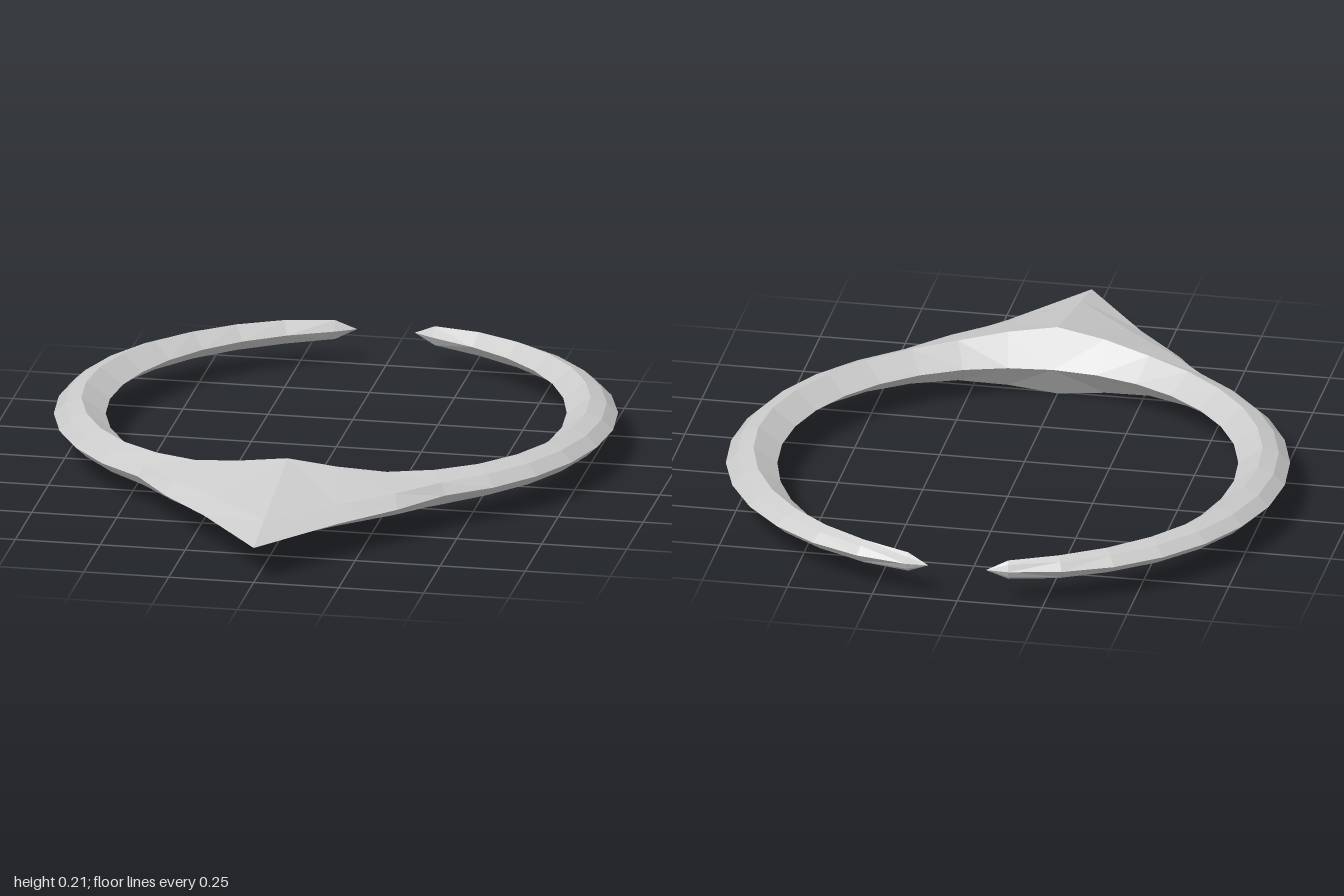
import * as THREE from 'three';

const CENTRE_Z = -0.245, MID_Y = 0.105, STEP = 11.25;

// Half of the band from the front point to the open end:
// [inner radius, ridge radius, ridge half-height, bevel radius, outer radius]
const HALF = [
  [0.665, 0.735, 0.105, 1.09, 1.245],
  [0.665, 0.735, 0.084, 0.925, 1.005],
  [0.665, 0.735, 0.063, 0.845, 0.894],
  [0.665, 0.735, 0.055, 0.787, 0.812],
  [0.665, 0.735, 0.050, 0.782, 0.815],
  [0.665, 0.735, 0.048, 0.782, 0.815],
  [0.665, 0.735, 0.048, 0.782, 0.815],
  [0.665, 0.735, 0.048, 0.782, 0.815],
  [0.665, 0.735, 0.048, 0.782, 0.815],
  [0.666, 0.735, 0.047, 0.782, 0.815],
  [0.670, 0.736, 0.045, 0.780, 0.812],
  [0.678, 0.738, 0.043, 0.777, 0.808],
  [0.688, 0.740, 0.041, 0.774, 0.804],
  [0.699, 0.743, 0.039, 0.770, 0.798],
  [0.713, 0.748, 0.036, 0.768, 0.787],
  [0.735, 0.754, 0.029, 0.764, 0.773],
  [0.760, 0.760, 0.000, 0.760, 0.760],
];
const LAST = HALF.length - 1;
const TIP_ANGLE = 173.6;

// Closed six-point cross-section at a signed station along the band
function section(i) {
  const n = Math.abs(i);
  const [inner, ridge, h, bevel, outer] = HALF[n];
  const a = THREE.MathUtils.degToRad(Math.sign(i) * (n === LAST ? TIP_ANGLE : n * STEP));
  const b = n === LAST ? 0 : Math.min(0.032, h * 0.66);
  return [[outer, 0], [bevel, b], [ridge, h], [inner, 0], [ridge, -h], [bevel, -b]]
    .map(([r, y]) => [r * Math.sin(a), MID_Y + y, CENTRE_Z + r * Math.cos(a)]);
}

function bandGeometry() {
  const positions = [];
  const tri = (...pts) => pts.forEach((p) => positions.push(...p));
  for (let i = -LAST; i < LAST; i++) {
    const s = section(i), t = section(i + 1);
    for (let j = 0; j < 6; j++) {
      const k = (j + 1) % 6;
      const A = s[j], B = t[j], C = t[k], D = s[k];
      // Pointed ends take one triangle per side
      if (i === -LAST) tri(A, B, C);
      else if (i === LAST - 1) tri(A, B, D);
      // Diagonals mirror across the centre and above/below
      else if ((i < 0) === (j < 3)) { tri(A, B, C); tri(A, C, D); }
      else { tri(A, B, D); tri(B, C, D); }
    }
  }
  const g = new THREE.BufferGeometry();
  g.setAttribute('position', new THREE.Float32BufferAttribute(positions, 3));
  g.computeVertexNormals();
  return g;
}

export function createModel() {
  const group = new THREE.Group();
  group.name = 'pointedCirclet';
  // Open faceted band that swells into a flat front point
  const band = new THREE.Mesh(
    bandGeometry(),
    new THREE.MeshStandardMaterial({ color: 0xcccccc, flatShading: true })
  );
  band.name = 'band';
  group.add(band);
  return group;
}
